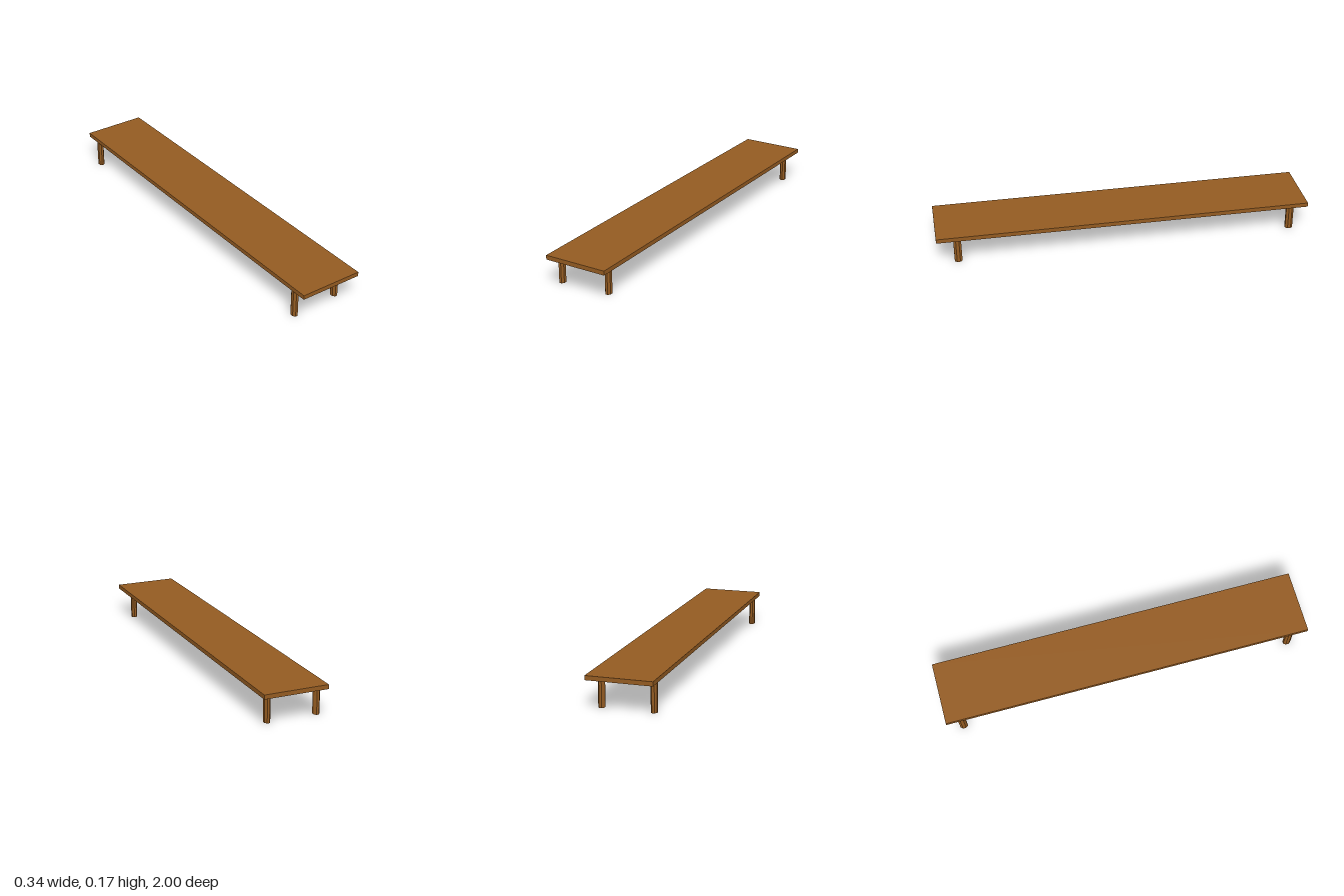
import * as THREE from 'three';

export function createModel() {
  const model = new THREE.Group();
  model.name = 'bench';
  const wood = new THREE.MeshStandardMaterial({ color: 0x955c22, flatShading: true });

  // Long plank
  const top = 0.175, underside = 0.152;
  const plank = new THREE.Mesh(new THREE.BoxGeometry(0.342, top - underside, 2), wood);
  plank.name = 'plank';
  plank.position.y = (top + underside) / 2;
  model.add(plank);

  // Eight-sided legs, slightly deeper than wide, set a little unevenly
  const legGeometry = new THREE.CylinderGeometry(1, 1, underside, 8);
  legGeometry.rotateY(Math.PI / 8);
  legGeometry.scale(0.0168, 1, 0.0218);
  const legs = [
    ['frontRightLeg', -0.149, 0.906],
    ['frontLeftLeg', 0.117, 0.89],
    ['backRightLeg', -0.149, -0.918],
    ['backLeftLeg', 0.117, -0.918],
  ];
  for (const [name, x, z] of legs) {
    const leg = new THREE.Mesh(legGeometry, wood);
    leg.name = name;
    leg.position.set(x, underside / 2, z);
    model.add(leg);
  }
  return model;
}
